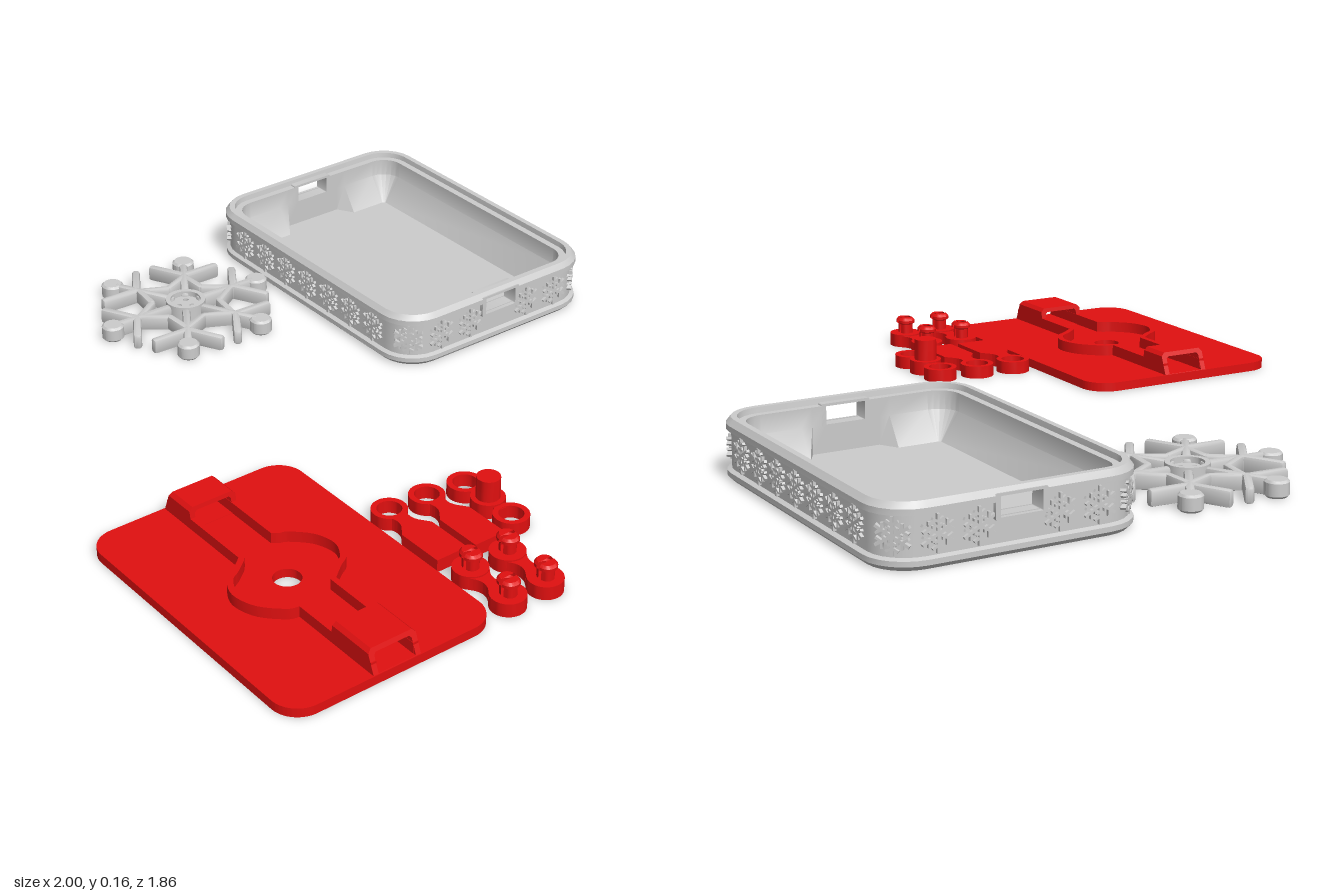
import * as THREE from 'three';
import { mergeGeometries, toCreasedNormals } from 'three/addons/utils/BufferGeometryUtils.js';
import { RoundedBoxGeometry } from 'three/addons/geometries/RoundedBoxGeometry.js';

const grey = new THREE.MeshStandardMaterial({ color: 0xcccccc, side: THREE.DoubleSide });
const red = new THREE.MeshStandardMaterial({ color: 0xe01010, side: THREE.DoubleSide });

function add(parent, name, geo, mat, x = 0, y = 0, z = 0) {
  const m = new THREE.Mesh(toCreasedNormals(geo, 0.6), mat);
  m.name = name;
  m.position.set(x, y, z);
  parent.add(m);
  return m;
}

function group(parent, name, x, z) {
  const g = new THREE.Group();
  g.name = name;
  g.position.set(x, 0, z);
  parent.add(g);
  return g;
}

// Shape drawn as seen from above (shape y = -z), extruded upwards
const slab = (shape, h) =>
  new THREE.ExtrudeGeometry(shape, { depth: h, bevelEnabled: false, curveSegments: 16 }).rotateX(-Math.PI / 2);

function disc(r, holes = []) {
  const s = new THREE.Shape().absarc(0, 0, r, 0, Math.PI * 2);
  for (const [x, y, hr] of holes) s.holes.push(new THREE.Path().absarc(x, y, hr, 0, Math.PI * 2, true));
  return s;
}

function roundedRect(w, d, r) {
  const x = w / 2 - r, y = d / 2 - r, s = new THREE.Shape();
  s.absarc(x, y, r, 0, Math.PI / 2);
  s.absarc(-x, y, r, Math.PI / 2, Math.PI);
  s.absarc(-x, -y, r, Math.PI, Math.PI * 1.5);
  s.absarc(x, -y, r, Math.PI * 1.5, Math.PI * 2);
  return s;
}

// ---- Tray: rounded-rectangle rings lofted along a wall profile ----
const W = 0.95, D = 0.695, R = 0.11;
const sideZ = [0.125, 0.095, 0.055, -0.055, -0.095, -0.125];

function trayRing(inset, isFloor) {
  const pts = [], r = R - inset, cx = W / 2 - R, cz = D / 2 - R;
  const side = (s) => {
    for (const z of sideZ) {
      const i = isFloor && Math.abs(z) < 0.1 ? 0.05 : inset; // floor notch behind the window
      pts.push([s * (W / 2 - i), s * z]);
    }
  };
  for (let q = 0; q < 4; q++) {
    const sx = q === 0 || q === 1 ? 1 : -1, sz = q === 0 || q === 3 ? 1 : -1;
    for (let k = 0; k <= 6; k++) {
      const a = (q - 1 + k / 6) * Math.PI / 2;
      pts.push([sx * cx + r * Math.cos(a), sz * cz - r * Math.sin(a)]);
    }
    if (q === 0) side(1);
    if (q === 2) side(-1);
  }
  return pts;
}

function trayGeometry() {
  // [inset, height], outside bottom to inside floor
  const prof = [[0.012, 0], [0, 0.012], [0, 0.025], [0.012, 0.03], [0.012, 0.095], [0.012, 0.13], [0, 0.13],
    [0, 0.145], [0.012, 0.16], [0.028, 0.16], [0.03, 0.145], [0.05, 0.145], [0.05, 0.095], [0.1, 0.02]];
  const windowSegments = [4, 5, 6, 11];
  const pos = [], idx = [];
  prof.forEach(([i, y], k) => trayRing(i, k === prof.length - 1).forEach(([x, z]) => pos.push(x, y, z)));
  const n = pos.length / 3 / prof.length;
  const bottom = pos.length / 3, floor = bottom + 1;
  pos.push(0, 0, 0, 0, 0.02, 0);
  for (let j = 0; j < n; j++) {
    const j2 = (j + 1) % n;
    const atWindow = j === 9 || j === 29;
    for (let k = 0; k < prof.length - 1; k++) {
      if (atWindow && windowSegments.includes(k)) continue;
      const a = k * n + j, b = k * n + j2;
      idx.push(a, b, b + n, a, b + n, a + n);
    }
    const last = (prof.length - 1) * n;
    idx.push(bottom, j2, j, floor, last + j, last + j2);
  }
  const g = new THREE.BufferGeometry();
  g.setAttribute('position', new THREE.Float32BufferAttribute(pos, 3));
  g.setIndex(idx);
  return g;
}

// Small relief flake in the xy plane
function reliefFlake() {
  const parts = [];
  for (let i = 0; i < 6; i++) {
    const a = i * Math.PI / 3 + Math.PI / 6;
    parts.push(new THREE.BoxGeometry(0.046, 0.007, 0.02).translate(0.023, 0, 0).rotateZ(a));
    for (const s of [-1, 1]) for (const [at, len] of [[0.015, 0.012], [0.027, 0.017]])
      parts.push(new THREE.BoxGeometry(len, 0.006, 0.02).translate(len / 2, 0, 0)
        .rotateZ(s * Math.PI / 3).translate(at, 0, 0).rotateZ(a));
  }
  return mergeGeometries(parts);
}

function buildTray(root) {
  const g = group(root, 'tray', -0.525, -0.5825);
  add(g, 'trayShell', trayGeometry(), grey);
  const flake = reliefFlake(), flakes = [];
  const place = (x, z, turn) => flakes.push(flake.clone().rotateY(turn).translate(x, 0.08, z));
  for (const s of [-1, 1]) {
    const turn = s > 0 ? 0 : Math.PI;
    for (let i = -3; i <= 3; i++) place(i * 0.104, s * (D / 2 - 0.014), turn);
    for (const i of [-2, -1, 1, 2]) place(s * (W / 2 - 0.014), i * 0.105, s * Math.PI / 2);
    for (const t of [-1, 1]) {
      const d = (R - 0.017) * Math.SQRT1_2;
      place(s * (W / 2 - R + d), t * (D / 2 - R + d), Math.atan2(s, t));
    }
  }
  add(g, 'flakeRelief', mergeGeometries(flakes), grey);
  // Window frames in both end walls
  const frame = roundedRect(0.136, 0.064, 0.004);
  frame.holes.push(new THREE.Path(roundedRect(0.11, 0.05, 0.002).getPoints(4)));
  const fg = new THREE.ExtrudeGeometry(frame, { depth: 0.05, bevelEnabled: false }).rotateY(Math.PI / 2);
  for (const s of [-1, 1]) add(g, 'windowFrame', fg, grey, s > 0 ? W / 2 - 0.05 : -W / 2, 0.118, 0);
}

// ---- Snowflake ornament ----
function buildOrnament(root) {
  const g = group(root, 'snowflakeOrnament', -0.715, 0.058);
  g.rotation.y = -0.04;
  const H = 0.045, bars = [];
  const bar = (x0, z0, x1, z1, w) => bars.push(
    new RoundedBoxGeometry(Math.hypot(x1 - x0, z1 - z0) + w * 0.5, H, w, 1, 0.008)
      .rotateY(-Math.atan2(z1 - z0, x1 - x0)).translate((x0 + x1) / 2, H / 2, (z0 + z1) / 2));
  for (let i = 0; i < 6; i++) {
    const a = Math.PI / 2 + i * Math.PI / 3;
    const p = (r, da = 0) => [r * Math.cos(a + da), r * Math.sin(a + da)];
    bar(...p(0.045), ...p(0.235), 0.024);
    for (const s of [-1, 1]) {
      const [x, z] = p(0.165), b = a + s * Math.PI / 3;
      bar(x, z, x + 0.11 * Math.cos(b), z + 0.11 * Math.sin(b), 0.024);
      bar(...p(0.155), ...p(0.098, s * Math.PI / 6), 0.022);
    }
    const [x, z] = p(0.246);
    const knob = [[0, 0], [0.026, 0], [0.032, 0.006], [0.032, H - 0.006], [0.026, H], [0, H]];
    add(g, 'tipKnob', new THREE.LatheGeometry(knob.map(([u, v]) => new THREE.Vector2(u, v)), 20), grey, x, 0, z);
  }
  add(g, 'flakeArms', mergeGeometries(bars), grey);
  const holes = [0, 1, 2].map((i) => [0.022 * Math.cos(i * 2.094 + 0.5), 0.022 * Math.sin(i * 2.094 + 0.5), 0.008]);
  add(g, 'hubPlate', slab(disc(0.046, holes), 0.034), grey);
  add(g, 'hubRing', slab(disc(0.058, [[0, 0, 0.044]]), 0.05), grey);
}

// ---- Lid with strap channel ----
function buildLid(root) {
  const g = group(root, 'lid', 0.557, 0.622);
  const plate = roundedRect(0.865, 0.615, 0.075);
  plate.holes.push(new THREE.Path().absarc(0, 0, 0.037, 0, Math.PI * 2, true));
  add(g, 'lidPlate', slab(plate, 0.025), red);
  // Channel wall with a skewed bulge, repeated by a half turn
  const bulge = new THREE.SplineCurve([[-0.145, 0.07], [-0.135, 0.1], [-0.08, 0.152], [-0.01, 0.17], [0.048, 0.145],
    [0.073, 0.11], [0.105, 0.07]].map(([x, y]) => new THREE.Vector2(x, y))).getPoints(28);
  const outer = [new THREE.Vector2(-0.42, 0.07), new THREE.Vector2(-0.17, 0.07), ...bulge,
    new THREE.Vector2(0.13, 0.07), new THREE.Vector2(0.42, 0.07)];
  const inner = outer.map((p, i) => {
    const t = outer[Math.min(i + 1, outer.length - 1)].clone().sub(outer[Math.max(i - 1, 0)]).normalize();
    return new THREE.Vector2(p.x + t.y * 0.016, p.y - t.x * 0.016);
  });
  const wall = slab(new THREE.Shape([...outer, ...inner.reverse()]), 0.032);
  for (const turn of [0, Math.PI]) add(g, 'channelWall', wall, red, 0, 0.024, 0).rotation.y = turn;
  // Arched strap tunnels at both ends, with sloping end faces
  const arch = new THREE.Shape([[-0.07, 0.02], [0.07, 0.02], [0.07, 0.076], [0.06, 0.086], [-0.06, 0.086], [-0.07, 0.076]]
    .map(([x, y]) => new THREE.Vector2(x, y)));
  arch.holes.push(new THREE.Path([[-0.055, 0.026], [-0.055, 0.068], [-0.049, 0.074], [0.049, 0.074], [0.055, 0.068],
    [0.055, 0.026]].map(([x, y]) => new THREE.Vector2(x, y))));
  for (const [name, x0, x1] of [['leftTunnel', 0.265, 0.432], ['rightTunnel', -0.432, -0.308]]) {
    const geo = new THREE.ExtrudeGeometry(arch, { depth: x1 - x0, bevelEnabled: false }).rotateY(Math.PI / 2).translate(x0, 0, 0);
    const p = geo.attributes.position, mid = (x0 + x1) / 2;
    for (let i = 0; i < p.count; i++) {
      const x = p.getX(i), outerEnd = x * mid > mid * mid;
      p.setX(i, x - Math.sign(x - mid) * (outerEnd ? 0.4 : 0.15) * (p.getY(i) - 0.02));
    }
    geo.computeVertexNormals();
    add(g, name, geo, red);
  }
}

// ---- Strap clips ----
const T = 0.036;
const ringShape = disc(0.048, [[0, 0, 0.033]]);

// Waisted link between two round ends
function neck(x0, x1, w0, w1, waist) {
  const m = (x0 + x1) / 2, s = new THREE.Shape();
  s.moveTo(x0, -w0).quadraticCurveTo(m, -waist, x1, -w1);
  s.lineTo(x1, w1).quadraticCurveTo(m, waist, x0, w0);
  return slab(s, T - 0.002);
}

function splitStud(g, x) {
  const prof = [[0, 0.03], [0.019, 0.03], [0.019, 0.066], [0.026, 0.07], [0.026, 0.078], [0.02, 0.085], [0, 0.085]]
    .map(([u, v]) => new THREE.Vector2(u, v));
  for (const s of [-1, 1])
    add(g, 'studHalf', new THREE.LatheGeometry(prof, 12, s > 0 ? 0 : Math.PI, Math.PI), red, x + s * 0.005, 0, 0);
}

function buildClips(root) {
  // Double-ring clip with a centre post
  const a = group(root, 'doubleRingClip', 0.6, 0.018);
  for (const s of [-1, 1]) {
    add(a, 'ring', slab(ringShape, T), red, s * 0.091);
    add(a, 'neck', neck(-0.015, 0.015, 0.026, 0.026, 0.01), red, s * 0.0455);
  }
  add(a, 'hub', slab(disc(0.046), T + 0.004), red);
  add(a, 'post', new THREE.CylinderGeometry(0.032, 0.032, 0.07, 24), red, 0, 0.066, 0);

  for (const [z, ringX, endX] of [[0.132, 0.493, 0.808], [0.249, 0.486, 0.805]]) {
    // Strap tab with a ring
    const t = group(root, 'ringTab', ringX, z);
    add(t, 'ring', slab(ringShape, T), red);
    const tab = new THREE.Shape();
    tab.moveTo(0.036, -0.026).quadraticCurveTo(0.065, -0.012, 0.09, -0.032);
    tab.lineTo(0.112, -0.048).lineTo(0.25, -0.048).lineTo(0.25, 0.048).lineTo(0.112, 0.048).lineTo(0.09, 0.032);
    tab.quadraticCurveTo(0.065, 0.012, 0.036, 0.026);
    add(t, 'tabPlate', slab(tab, T), red);
    // Two-stud link
    const l = group(root, 'studLink', endX, z);
    add(l, 'neck', neck(0.035, 0.105, 0.032, 0.032, 0.002), red);
    for (const x of [0, 0.14]) {
      add(l, 'linkEnd', slab(disc(0.047), T + 0.002), red, x);
      splitStud(l, x);
    }
  }
}

export function createModel() {
  const root = new THREE.Group();
  root.name = 'trayAndStrapKit';
  buildTray(root);
  buildOrnament(root);
  buildLid(root);
  buildClips(root);
  return root;
}
